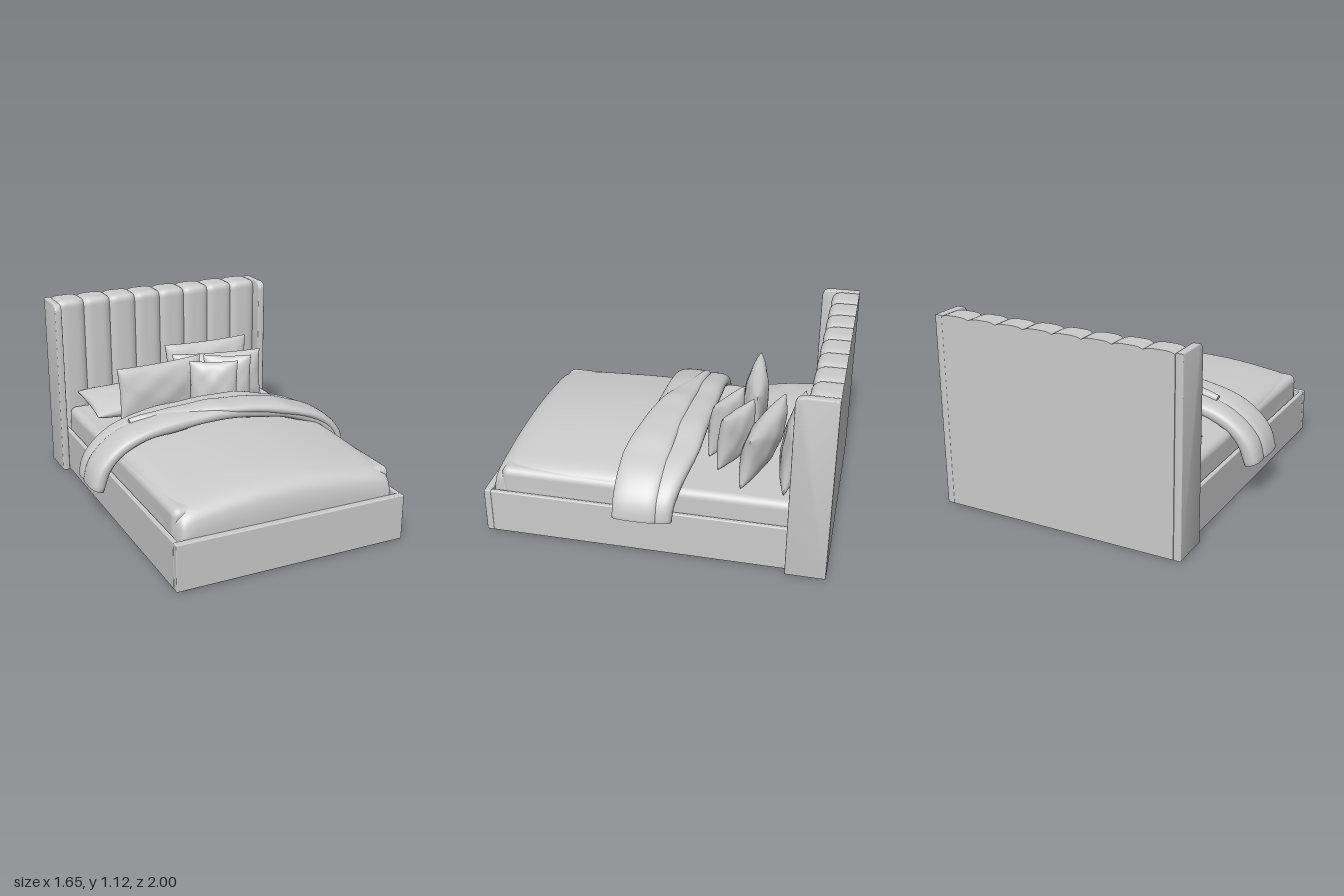
import * as THREE from 'three';
import { mergeVertices, toCreasedNormals, mergeGeometries } from 'three/addons/utils/BufferGeometryUtils.js';
import { RoundedBoxGeometry } from 'three/addons/geometries/RoundedBoxGeometry.js';

const CX = 0.025; // centre line of the bed
const mat = new THREE.MeshStandardMaterial({ color: 0xcccccc });
const softMat = new THREE.MeshStandardMaterial({ color: 0xcccccc, side: THREE.DoubleSide });
const { lerp, smoothstep } = THREE.MathUtils;

function add(parent, name, geometry, material = mat) {
  const mesh = new THREE.Mesh(geometry, material);
  mesh.name = name;
  parent.add(mesh);
  return mesh;
}

// Rounded box given by its limits
function block(parent, name, [x0, x1], [y0, y1], [z0, z1], r = 0.006) {
  const geo = new RoundedBoxGeometry(x1 - x0, y1 - y0, z1 - z0, 3, r);
  return add(parent, name, geo.translate((x0 + x1) / 2, (y0 + y1) / 2, (z0 + z1) / 2));
}

// Side outline with a rounded upper front corner, extruded across x
function slab(width, zBack, zFront, height, r, steps, bevel) {
  const b = bevel;
  const s = new THREE.Shape();
  s.moveTo(zBack + b, b);
  s.lineTo(zFront - b, b);
  s.lineTo(zFront - b, height - r);
  s.quadraticCurveTo(zFront - b, height - b, zFront - r, height - b);
  s.lineTo(zBack + b, height - b);
  const geo = new THREE.ExtrudeGeometry(s, {
    depth: width - 2 * b, steps, curveSegments: 8,
    bevelEnabled: b > 0, bevelSize: b, bevelThickness: b, bevelSegments: 3,
  });
  geo.translate(0, 0, b - width / 2).rotateY(-Math.PI / 2);
  return geo;
}

// Vertical padded channel: the front and top sink towards the seams
function channelGeometry(width) {
  let geo = slab(width, -1, -0.835, 1.125, 0.05, 16, 0);
  const p = geo.attributes.position;
  for (let i = 0; i < p.count; i++) {
    const sink = Math.pow(Math.abs(p.getX(i)) / (width / 2), 4);
    p.setZ(i, -1 + (p.getZ(i) + 1) * (1 - 0.13 * sink));
    p.setY(i, p.getY(i) * (1 - 0.011 * sink));
  }
  geo.deleteAttribute('normal');
  geo.deleteAttribute('uv');
  return toCreasedNormals(mergeVertices(geo), 0.6);
}

// Skin over a row of cross-sections (arrays of Vector3)
function loft(rings, closed) {
  const n = rings[0].length;
  const index = [];
  for (let i = 0; i < rings.length - 1; i++) {
    for (let j = 0; j < (closed ? n : n - 1); j++) {
      const k = (j + 1) % n;
      const a = i * n + j, b = a + n, c = i * n + k, d = c + n;
      index.push(a, b, c, b, d, c);
    }
  }
  const geo = new THREE.BufferGeometry().setFromPoints(rings.flat());
  geo.setIndex(index);
  geo.computeVertexNormals();
  return geo;
}

// Pillow: two bulging sheets joined at a seam, with pointed corners
function pillowGeometry(w, h, thick, seed) {
  const side = (sign) => {
    const geo = new THREE.PlaneGeometry(2, 2, 28, 28);
    const p = geo.attributes.position;
    for (let i = 0; i < p.count; i++) {
      const u = Math.sin(p.getX(i) * Math.PI / 2), v = Math.sin(p.getY(i) * Math.PI / 2);
      const dome = Math.pow((1 - u * u) * (1 - v * v), 0.42);
      const fold = 1 + 0.06 * Math.sin(7 * u + seed) * Math.sin(6 * v + 2 * seed);
      p.setXYZ(i,
        (u * w / 2) * (1 - 0.05 * (1 - v * v) * u * u),
        (v * h / 2) * (1 - 0.06 * (1 - u * u) * v * v),
        sign * dome * fold * thick / 2);
    }
    if (sign < 0) {
      const idx = geo.index.array;
      for (let i = 0; i < idx.length; i += 3) [idx[i], idx[i + 1]] = [idx[i + 1], idx[i]];
    }
    geo.computeVertexNormals();
    return geo;
  };
  return mergeGeometries([side(1), side(-1)]);
}

// Blanket fold swept over the bed; front and back give its z limits along the path
function foldGeometry(points, front, back, half, lift) {
  const curve = new THREE.CatmullRomCurve3(points.map(([x, y]) => new THREE.Vector3(x, y, 0)));
  const rings = [];
  const N = 64, M = 28;
  for (let i = 0; i <= N; i++) {
    const t = i / N;
    const c = curve.getPointAt(t), tan = curve.getTangentAt(t);
    const zf = front(t), zb = back(t);
    const a = half * (1 + 0.08 * Math.sin(t * 23) + 0.05 * Math.sin(t * 41));
    const ring = [];
    for (let j = 0; j < M; j++) {
      const th = j / M * Math.PI * 2, cs = Math.cos(th), sn = Math.sin(th);
      const z = (zf + zb) / 2 + Math.sign(cs) * Math.pow(Math.abs(cs), 0.75) * (zf - zb) / 2;
      const o = lift + Math.sign(sn) * Math.pow(Math.abs(sn), 0.8) * a;
      ring.push(new THREE.Vector3(c.x - tan.y * o, c.y + tan.x * o, z));
    }
    const centre = ring.reduce((s, q) => s.add(q), new THREE.Vector3()).divideScalar(M);
    const cap = (k) => ring.map((q) => q.clone().lerp(centre, k));
    if (i === 0) rings.push(cap(1), cap(0.12));
    rings.push(ring);
    if (i === N) rings.push(cap(0.12), cap(1));
  }
  return loft(rings, true);
}

export function createModel() {
  const bed = new THREE.Group();
  bed.name = 'bed';

  // Headboard: eight channels between two wings
  const headboard = new THREE.Group();
  headboard.name = 'headboard';
  bed.add(headboard);
  const channel = channelGeometry(0.175);
  for (let i = 0; i < 8; i++) {
    add(headboard, 'headboardChannel', channel).position.x = CX + (i - 3.5) * 0.175;
  }
  const wing = toCreasedNormals(slab(0.046, -1, -0.77, 1.12, 0.05, 1, 0.008), 0.7);
  for (const s of [-1, 1]) add(headboard, 'headboardWing', wing).position.x = CX + s * 0.722;
  block(headboard, 'headboardBack', [CX - 0.7, CX + 0.7], [0.005, 1.1], [-1, -0.97], 0.004);

  // Base: rails, foot panel and floor
  const base = new THREE.Group();
  base.name = 'base';
  bed.add(base);
  for (const s of [-1, 1]) {
    const xs = [CX + s * 0.672, CX + s * 0.7].sort((a, b) => a - b);
    block(base, 'sideRail', xs, [0.004, 0.277], [-0.86, 0.96]);
  }
  block(base, 'footPanel', [CX - 0.7, CX + 0.7], [0.004, 0.277], [0.957, 1]);
  block(base, 'baseFloor', [CX - 0.68, CX + 0.68], [0.01, 0.2], [-0.86, 0.965]);

  // Mattress and the domed cover over its lower part
  block(bed, 'mattress', [CX - 0.668, CX + 0.668], [0.18, 0.42], [-0.835, 0.9], 0.045);
  const halfProfile = [[-0.668, 0.18], [-0.666, 0.33], [-0.65, 0.41], [-0.6, 0.447], [-0.45, 0.478], [-0.22, 0.507]];
  const profile = new THREE.CatmullRomCurve3([
    ...halfProfile, [0, 0.515], ...halfProfile.map(([x, y]) => [-x, y]).reverse(),
  ].map(([x, y]) => new THREE.Vector3(x, y, 0)), false, 'centripetal').getPoints(72);
  const along = new THREE.CatmullRomCurve3([ // width scale, top, z
    [1, 0.51, -0.12], [1, 0.52, 0.15], [1, 0.51, 0.5], [1, 0.488, 0.78], [0.99, 0.465, 0.88],
    [0.97, 0.425, 0.93], [0.95, 0.36, 0.952], [0.94, 0.18, 0.956],
  ].map((q) => new THREE.Vector3(...q)), false, 'centripetal').getPoints(56);
  add(bed, 'cover', loft(along.map((k) => profile.map((q) => new THREE.Vector3(
    CX + q.x * k.x, 0.18 + (q.y - 0.18) * (k.y - 0.18) / 0.335, k.z))), false), softMat);

  // Folded blanket: back fold, lower fold and a diagonal flap on top
  const blanket = new THREE.Group();
  blanket.name = 'blanket';
  bed.add(blanket);
  const path = [[-0.775, 0.225], [-0.735, 0.34], [-0.65, 0.435], [-0.5, 0.51], [-0.25, 0.55], [0.05, 0.57],
    [0.3, 0.555], [0.53, 0.505], [0.68, 0.435], [0.76, 0.35], [0.785, 0.26]];
  const frontEdge = (t) => lerp(0.13, 0.2, smoothstep(t, 0.5, 0.9));
  const backEdge = (t) => lerp(-0.1, -0.04, smoothstep(t, 0.45, 1));
  add(blanket, 'blanketBackFold', foldGeometry(path,
    (t) => lerp(-0.05, 0.02, t), (t) => lerp(-0.2, -0.13, smoothstep(t, 0.7, 1)) - 0.02 * Math.sin(t * Math.PI),
    0.048, -0.012), softMat);
  add(blanket, 'blanketLowerFold', foldGeometry(path, frontEdge, backEdge, 0.045, 0), softMat);
  add(blanket, 'blanketFlap', foldGeometry(path.slice(3),
    (t) => Math.min(lerp(-0.07, 0.14, smoothstep(t, -0.1, 0.5)) + 0.07 * smoothstep(t, 0.4, 0.8), 0.205),
    (t) => lerp(-0.1, -0.05, t), 0.035, 0.022), softMat);

  // Pillows: name, size, centre, turn about y, lean back
  const pillows = [
    ['lyingPillow', [0.6, 0.4, 0.13], [-0.277, 0.485, -0.635], 0, -1.45],
    ['frontLeftPillow', [0.6, 0.34, 0.15], [-0.145, 0.592, -0.45], 0.11, -0.1],
    ['backRightPillow', [0.6, 0.35, 0.14], [0.318, 0.595, -0.745], 0, -0.12],
    ['frontRightPillow', [0.6, 0.32, 0.16], [0.31, 0.577, -0.565], -0.2, -0.15],
    ['smallFrontPillow', [0.31, 0.34, 0.13], [0.17, 0.592, -0.325], -0.42, -0.08],
    ['smallBackPillow', [0.31, 0.34, 0.13], [0.305, 0.592, -0.405], -0.45, -0.08],
  ];
  pillows.forEach(([name, size, centre, turn, lean], i) => {
    const pillow = add(bed, name, pillowGeometry(...size, i + 1), softMat);
    pillow.position.set(...centre);
    pillow.rotation.set(lean, turn, 0, 'YXZ');
  });

  return bed;
}
